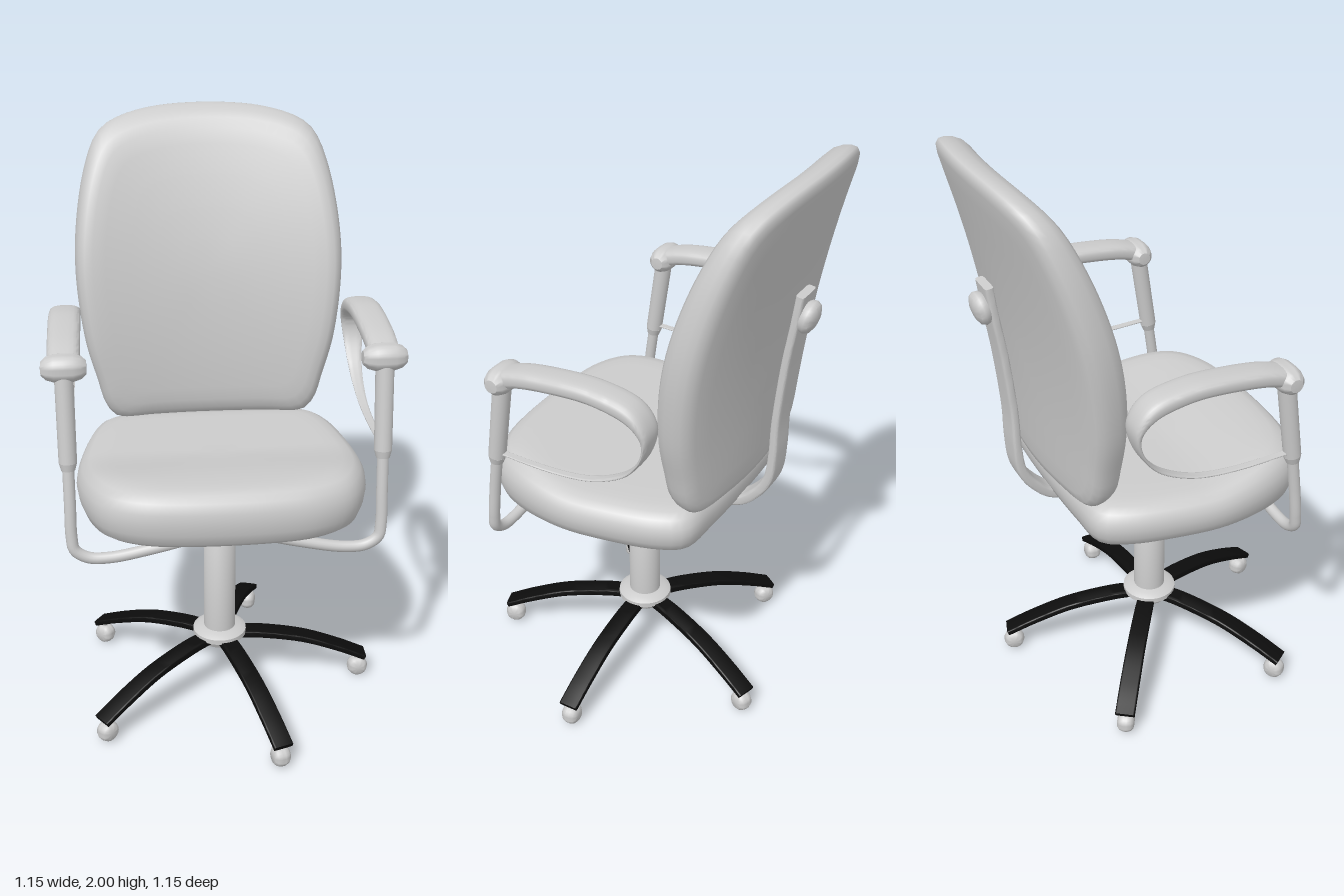
import * as THREE from 'three';
import { mergeVertices, toCreasedNormals } from 'three/addons/utils/BufferGeometryUtils.js';

const grey = new THREE.MeshStandardMaterial({ color: 0xcccccc });
const black = new THREE.MeshStandardMaterial({ color: 0x0c0c0c });
const V = (x, y, z) => new THREE.Vector3(x, y, z);

function add(parent, name, geometry, material = grey) {
  const mesh = new THREE.Mesh(geometry, material);
  mesh.name = name;
  parent.add(mesh);
  return mesh;
}

// Skin over closed rings that turn counter-clockwise about the loft direction
function loft(rings) {
  const n = rings[0].length, index = [];
  for (let i = 0; i < rings.length - 1; i++) {
    for (let j = 0; j < n; j++) {
      const k = (j + 1) % n;
      const a = i * n + j, b = i * n + k, c = b + n, d = a + n;
      index.push(a, b, c, a, c, d);
    }
  }
  const geo = new THREE.BufferGeometry().setFromPoints(rings.flat());
  geo.setIndex(index);
  const merged = mergeVertices(geo);
  merged.computeVertexNormals();
  return merged;
}

// Bar swept in the yz plane; each station is [z, y, half width, half thickness]
function sweep(stations, power, steps = 48, sides = 20) {
  const path = new THREE.CatmullRomCurve3(stations.map(([z, y]) => V(0, y, z)), false, 'catmullrom');
  const size = new THREE.CatmullRomCurve3(stations.map(([, , w, h]) => V(w, h, 0)), false, 'catmullrom');
  const X = V(1, 0, 0), rings = [];
  const round = (c) => Math.sign(c) * Math.abs(c) ** (2 / power);
  for (let i = 0; i <= steps; i++) {
    const p = path.getPoint(i / steps), s = size.getPoint(i / steps);
    const normal = path.getTangent(i / steps).cross(X);
    const ring = [];
    for (let j = 0; j < sides; j++) {
      const a = ((j + 0.5) / sides) * Math.PI * 2;
      ring.push(p.clone().addScaledVector(X, s.x * round(Math.cos(a)))
        .addScaledVector(normal, s.y * round(Math.sin(a))));
    }
    if (i === 0) rings.push(ring.map(() => p.clone()));
    rings.push(ring);
    if (i === steps) rings.push(ring.map(() => p.clone()));
  }
  return toCreasedNormals(loft(rings), 0.7);
}

// Padded cushion: mirrored outline, shrunk per layer [scale, depth], placed by a rule
function cushion(half, centre, layers, place) {
  const mirrored = half.map(([u, v]) => [-u, v]).reverse();
  const curve = new THREE.CatmullRomCurve3([...half, ...mirrored].map(([u, v]) => V(u, v, 0)), true);
  const outline = curve.getSpacedPoints(96).slice(0, 96);
  return loft(layers.map(([s, d]) =>
    outline.map((p) => place(p.x * s, centre + (p.y - centre) * s, d))));
}

function lathe(profile, segments = 32) {
  const geo = new THREE.LatheGeometry(profile.map(([r, y]) => new THREE.Vector2(r, y)), segments);
  return toCreasedNormals(geo, 0.7);
}

// Straight round bar from a to b
function rod(a, b, ra, rb) {
  const dir = b.clone().sub(a);
  const geo = new THREE.CylinderGeometry(rb, ra, dir.length(), 24);
  geo.applyQuaternion(new THREE.Quaternion().setFromUnitVectors(V(0, 1, 0), dir.clone().normalize()));
  const mid = a.clone().add(b).multiplyScalar(0.5);
  return geo.translate(mid.x, mid.y, mid.z);
}

function createSeat() {
  const half = [[0.15, -0.462], [0.3, -0.437], [0.4, -0.38], [0.455, -0.28], [0.485, -0.1],
    [0.467, 0.08], [0.425, 0.25], [0.375, 0.325], [0.22, 0.343]];
  const layers = [[0, 0], [0.5, 0], [0.85, 0], [0.92, 0.03], [0.965, 0.12], [0.99, 0.3], [1, 0.5],
    [0.99, 0.68], [0.96, 0.85], [0.91, 0.95], [0.84, 0.99], [0.75, 1], [0.6, 1], [0.4, 1], [0.2, 1], [0, 1]];
  return cushion(half, -0.06, layers, (x, v, d) => {
    const top = 0.938 + 0.04 * THREE.MathUtils.smoothstep(-v, 0.02, 0.34);
    return V(x, THREE.MathUtils.lerp(0.785, top, d), -v);
  });
}

function createBackrest() {
  const half = [[0.2, 0.922], [0.335, 0.93], [0.375, 0.975], [0.405, 1.08], [0.44, 1.22], [0.464, 1.45],
    [0.457, 1.62], [0.423, 1.8], [0.38, 1.905], [0.335, 1.945], [0.18, 1.988]];
  const layers = [[0, -1], [0.2, -1], [0.4, -1], [0.6, -1], [0.8, -1], [0.92, -0.96], [0.97, -0.85],
    [0.995, -0.6], [1, -0.25], [0.992, 0.2], [0.97, 0.6], [0.93, 0.85], [0.87, 0.97], [0.78, 1],
    [0.6, 1], [0.4, 1], [0.2, 1], [0, 1]];
  return cushion(half, 1.46, layers, (x, y, d) => {
    const middle = -0.335 - 0.18 * Math.max(0, y - 0.95) ** 2;
    const halfDepth = 0.07 - 0.05 * (y - 1.45) ** 2;
    return V(x, y, middle + 0.32 * x * x + d * halfDepth);
  });
}

function createArm(side) {
  const arm = new THREE.Group();
  arm.name = side > 0 ? 'leftArm' : 'rightArm';
  arm.position.x = 0.503 * side;
  // Pad that thins into a strip looping back to the post
  add(arm, 'armPad', sweep([
    [0.25, 1.345, 0.05, 0.03], [0.15, 1.37, 0.052, 0.029], [0, 1.384, 0.053, 0.028],
    [-0.1, 1.382, 0.053, 0.028], [-0.2, 1.36, 0.052, 0.028], [-0.252, 1.315, 0.048, 0.018],
    [-0.262, 1.26, 0.04, 0.009], [-0.235, 1.19, 0.03, 0.006], [-0.17, 1.12, 0.022, 0.005],
    [-0.05, 1.067, 0.016, 0.004], [0.1, 1.05, 0.013, 0.004], [0.29, 1.055, 0.012, 0.004]], 3, 72));
  const boss = lathe([[0, -0.072], [0.022, -0.07], [0.036, -0.055], [0.044, -0.03], [0.045, 0],
    [0.044, 0.03], [0.036, 0.055], [0.022, 0.07], [0, 0.072]]).rotateZ(Math.PI / 2);
  add(arm, 'armJoint', boss).position.set(0, 1.34, 0.248);
  add(arm, 'armPost', rod(V(0, 1.04, 0.298), V(0, 1.33, 0.255), 0.029, 0.03));
  add(arm, 'armCollar', rod(V(0, 1.015, 0.302), V(0, 1.04, 0.298), 0.022, 0.029));
  // Bent tube running in under the seat
  const path = [[0, 1.03, 0.3], [0, 0.9, 0.318], [0, 0.79, 0.33], [0.008, 0.745, 0.335], [0.05, 0.716, 0.336],
    [0.12, 0.712, 0.336], [0.25, 0.735, 0.335], [0.38, 0.768, 0.335], [0.46, 0.795, 0.335]];
  const curve = new THREE.CatmullRomCurve3(path.map(([x, y, z]) => V(-x * side, y, z)));
  add(arm, 'armTube', new THREE.TubeGeometry(curve, 64, 0.019, 16));
  return arm;
}

function createBase() {
  const base = new THREE.Group();
  base.name = 'base';
  base.position.z = 0.05;
  add(base, 'hub', lathe([[0, 0.188], [0.065, 0.188], [0.08, 0.215], [0.095, 0.22], [0.095, 0.238],
    [0.075, 0.25], [0, 0.255]]));
  add(base, 'column', lathe([[0.056, 0.24], [0.056, 0.635], [0.048, 0.647], [0, 0.647]]));
  add(base, 'gasLift', new THREE.CylinderGeometry(0.03, 0.03, 0.15, 24)).position.y = 0.715;
  add(base, 'seatMount', new THREE.CylinderGeometry(0.06, 0.045, 0.045, 24)).position.y = 0.772;
  const legShape = sweep([[0.04, 0.215, 0.03, 0.013], [0.15, 0.209, 0.032, 0.013], [0.3, 0.181, 0.033, 0.012],
    [0.43, 0.134, 0.034, 0.011], [0.535, 0.086, 0.034, 0.01]], 8, 24);
  const wheelShape = lathe([[0, -0.028], [0.022, -0.028], [0.032, -0.02], [0.037, -0.006], [0.037, 0.006],
    [0.032, 0.02], [0.022, 0.028], [0, 0.028]], 24).rotateZ(Math.PI / 2);
  for (let i = 0; i < 5; i++) {
    const leg = new THREE.Group();
    leg.name = 'leg' + (i + 1);
    leg.rotation.y = Math.PI / 2 + (i * Math.PI * 2) / 5;
    add(leg, 'legBar', legShape, black);
    add(leg, 'caster', wheelShape).position.set(0, 0.037, 0.513);
    add(leg, 'casterStem', new THREE.CylinderGeometry(0.012, 0.012, 0.04, 12)).position.set(0, 0.075, 0.513);
    base.add(leg);
  }
  return base;
}

export function createModel() {
  const chair = new THREE.Group();
  chair.name = 'officeChair';
  chair.add(createBase(), createArm(1), createArm(-1));
  add(chair, 'seat', createSeat());
  add(chair, 'backrest', createBackrest());
  // Flat spine from under the seat up the rear of the backrest
  add(chair, 'backSupport', sweep([
    [0.07, 0.765, 0.035, 0.016], [-0.18, 0.768, 0.036, 0.016], [-0.32, 0.787, 0.04, 0.017],
    [-0.395, 0.845, 0.045, 0.018], [-0.44, 0.92, 0.048, 0.017], [-0.453, 1.02, 0.05, 0.015],
    [-0.457, 1.15, 0.05, 0.014], [-0.477, 1.35, 0.05, 0.014], [-0.5, 1.5, 0.05, 0.014],
    [-0.513, 1.6, 0.048, 0.014]], 6, 60));
  // Clamp knob
  const knob = add(chair, 'backKnob', lathe([[0, -0.03], [0.035, -0.03], [0.052, -0.012], [0.055, 0.002],
    [0.048, 0.016], [0.028, 0.025], [0, 0.028]]));
  knob.position.set(0, 1.52, -0.53);
  knob.rotation.x = -Math.PI / 2 - 0.25;
  return chair;
}
